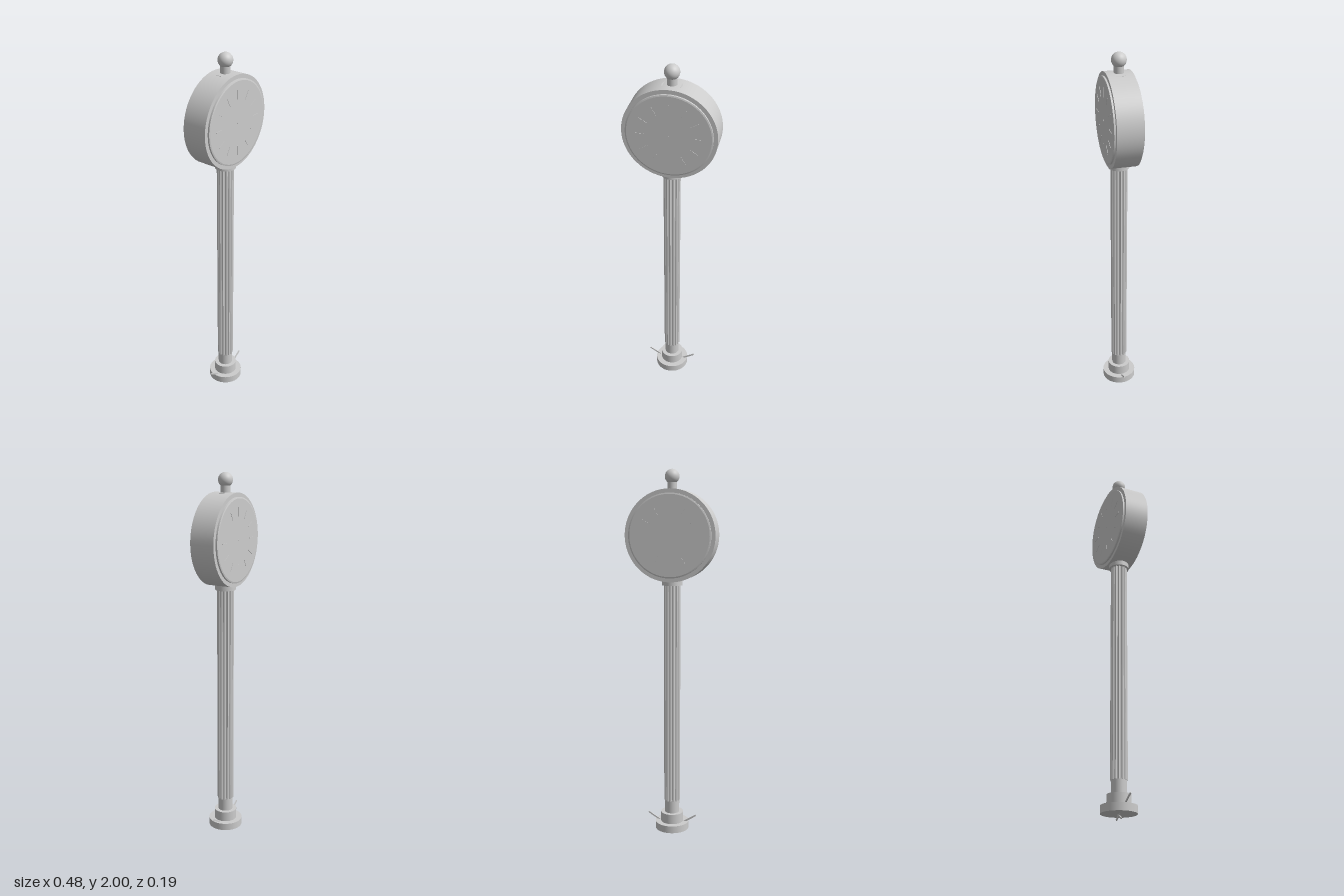
import * as THREE from 'three';

const CLOCK_Y = 1.66;

export function createModel() {
  const model = new THREE.Group();
  model.name = 'postClock';
  const grey = new THREE.MeshStandardMaterial({ color: 0xcccccc });
  grey.name = 'light grey';

  const add = (name, geometry, parent = model) => {
    const mesh = new THREE.Mesh(geometry, grey);
    mesh.name = name;
    parent.add(mesh);
    return mesh;
  };
  // Upright disc or column between two heights
  const disc = (name, r, y0, y1, parent) => {
    const mesh = add(name, new THREE.CylinderGeometry(r, r, y1 - y0, 48), parent);
    mesh.position.y = (y0 + y1) / 2;
    return mesh;
  };

  // Stepped foot
  disc('basePlate', 0.093, 0.03, 0.07);
  disc('baseStep', 0.062, 0.07, 0.125);
  disc('lowerPost', 0.04, 0.125, 0.2);

  // Fluted shaft: ridges separated by concave grooves
  const flutes = 16, outline = [];
  for (let i = 0; i < flutes; i++) {
    for (let j = 0; j < 6; j++) {
      const a = ((i + j / 6) / flutes) * Math.PI * 2;
      const r = 0.045 - 0.006 * Math.sin((Math.PI * j) / 6);
      outline.push(new THREE.Vector2(Math.cos(a) * r, Math.sin(a) * r));
    }
  }
  const shaft = new THREE.ExtrudeGeometry(new THREE.Shape(outline), { depth: 1.205, bevelEnabled: false });
  shaft.rotateX(-Math.PI / 2);
  add('flutedShaft', shaft).position.y = 0.195;
  disc('collar', 0.055, 1.4, 1.43);

  // Clock drum with a raised bezel on both sides
  const profile = [
    [0, -0.077], [0.212, -0.077], [0.219, -0.075], [0.219, -0.066], [0.24, -0.066],
    [0.24, 0.066], [0.219, 0.066], [0.219, 0.075], [0.212, 0.077], [0, 0.077],
  ];
  const clock = new THREE.Group();
  clock.name = 'clockHead';
  clock.position.y = CLOCK_Y;
  model.add(clock);
  // Each profile segment is its own lathe, which keeps the rims sharp
  for (let i = 0; i < profile.length - 1; i++) {
    const points = [profile[i], profile[i + 1]].map(([r, z]) => new THREE.Vector2(r, z));
    const band = new THREE.LatheGeometry(points, 72);
    band.rotateX(Math.PI / 2);
    add('drumBand', band, clock);
  }

  // Hour marks and centre pin on both dials
  for (const side of [1, -1]) {
    const dial = new THREE.Group();
    dial.name = side > 0 ? 'frontDial' : 'backDial';
    if (side < 0) dial.rotation.y = Math.PI;
    clock.add(dial);
    for (let h = 0; h < 12; h++) {
      const a = (h / 12) * Math.PI * 2;
      const mark = add('hourMark', new THREE.BoxGeometry(h % 3 ? 0.003 : 0.005, 0.048, 0.004), dial);
      mark.position.set(Math.sin(a) * 0.145, Math.cos(a) * 0.145, 0.077);
      mark.rotation.z = -a;
    }
    const pin = add('centrePin', new THREE.CylinderGeometry(0.005, 0.005, 0.004, 16), dial);
    pin.rotation.x = Math.PI / 2;
    pin.position.z = 0.077;
  }

  // Crossed thin rods through the foot
  for (const side of [1, -1]) {
    const angle = Math.atan2(0.105, 0.168);
    const rod = add('crossRod', new THREE.BoxGeometry(0.195, 0.008, 0.005));
    rod.rotation.z = side * angle;
    rod.position.set(side * 0.053, 0.057, 0);
  }

  // Finial
  disc('finialSeat', 0.05, 1.87, 1.896);
  disc('finialNeck', 0.025, 1.88, 1.945);
  add('finialBall', new THREE.SphereGeometry(0.038, 32, 24)).position.y = 1.962;

  return model;
}
